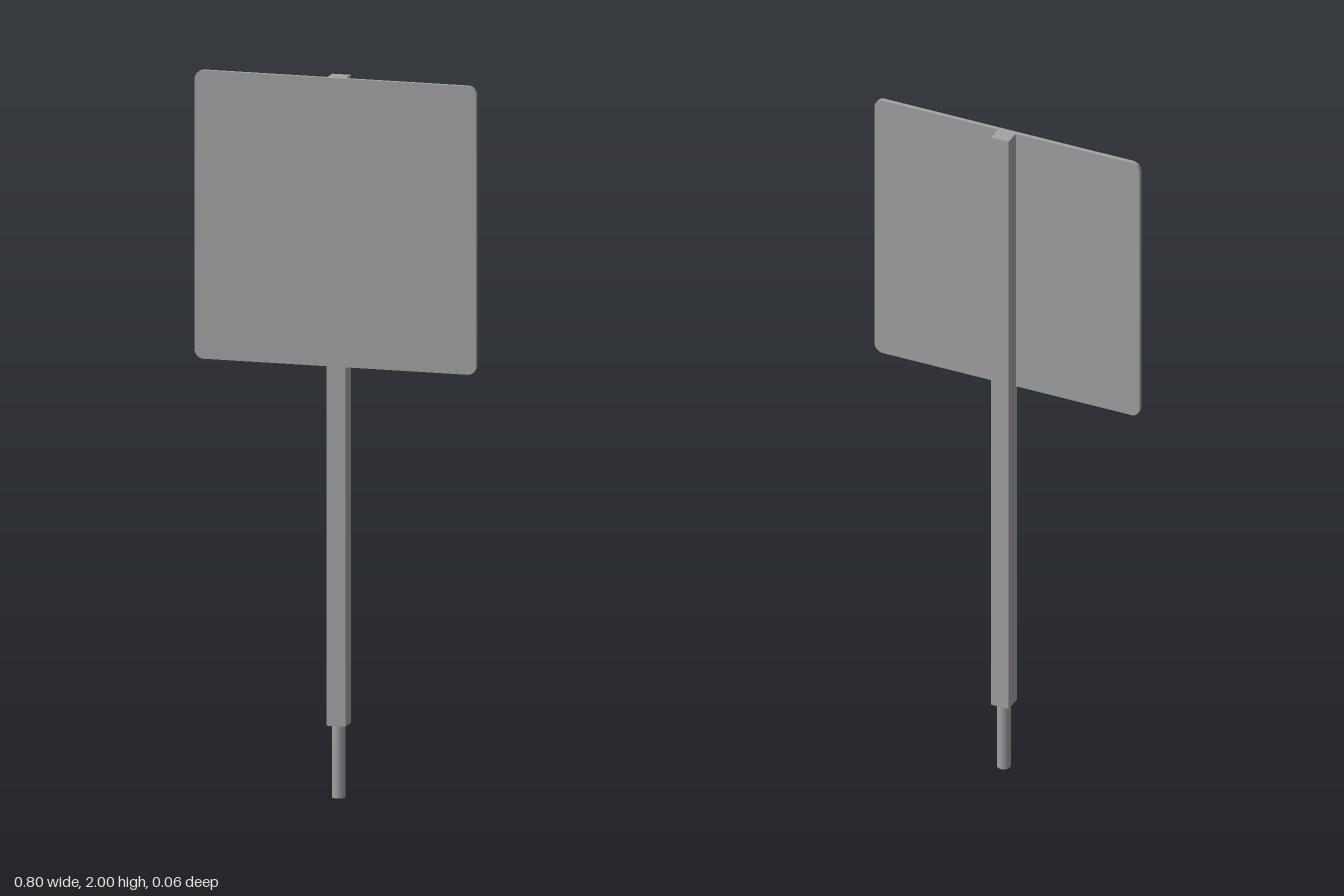
import * as THREE from 'three';

export function createModel() {
  const group = new THREE.Group();
  const grey = new THREE.MeshStandardMaterial({ color: 0xa3a3a3 });
  grey.name = 'grey';

  const add = (name, geometry, x, y, z) => {
    const mesh = new THREE.Mesh(geometry, grey);
    mesh.name = name;
    mesh.position.set(x, y, z);
    group.add(mesh);
  };

  // Square post and the round peg below it
  add('post', new THREE.BoxGeometry(0.053, 1.798, 0.053), 0, 1.101, -0.003);
  const peg = new THREE.CylinderGeometry(0.019, 0.019, 0.21, 12);
  add('groundPeg', peg, 0, 0.105, -0.003);

  // Thin square panel with rounded corners
  const h = 0.4, r = 0.025;
  const outline = new THREE.Shape();
  outline.absarc(h - r, h - r, r, 0, Math.PI / 2);
  outline.absarc(r - h, h - r, r, Math.PI / 2, Math.PI);
  outline.absarc(r - h, r - h, r, Math.PI, Math.PI * 1.5);
  outline.absarc(h - r, r - h, r, Math.PI * 1.5, Math.PI * 2);
  const panel = new THREE.ExtrudeGeometry(outline, {
    depth: 0.012, bevelEnabled: false, curveSegments: 6,
  });
  add('signPanel', panel, 0, 1.6, 0.017);

  return group;
}
